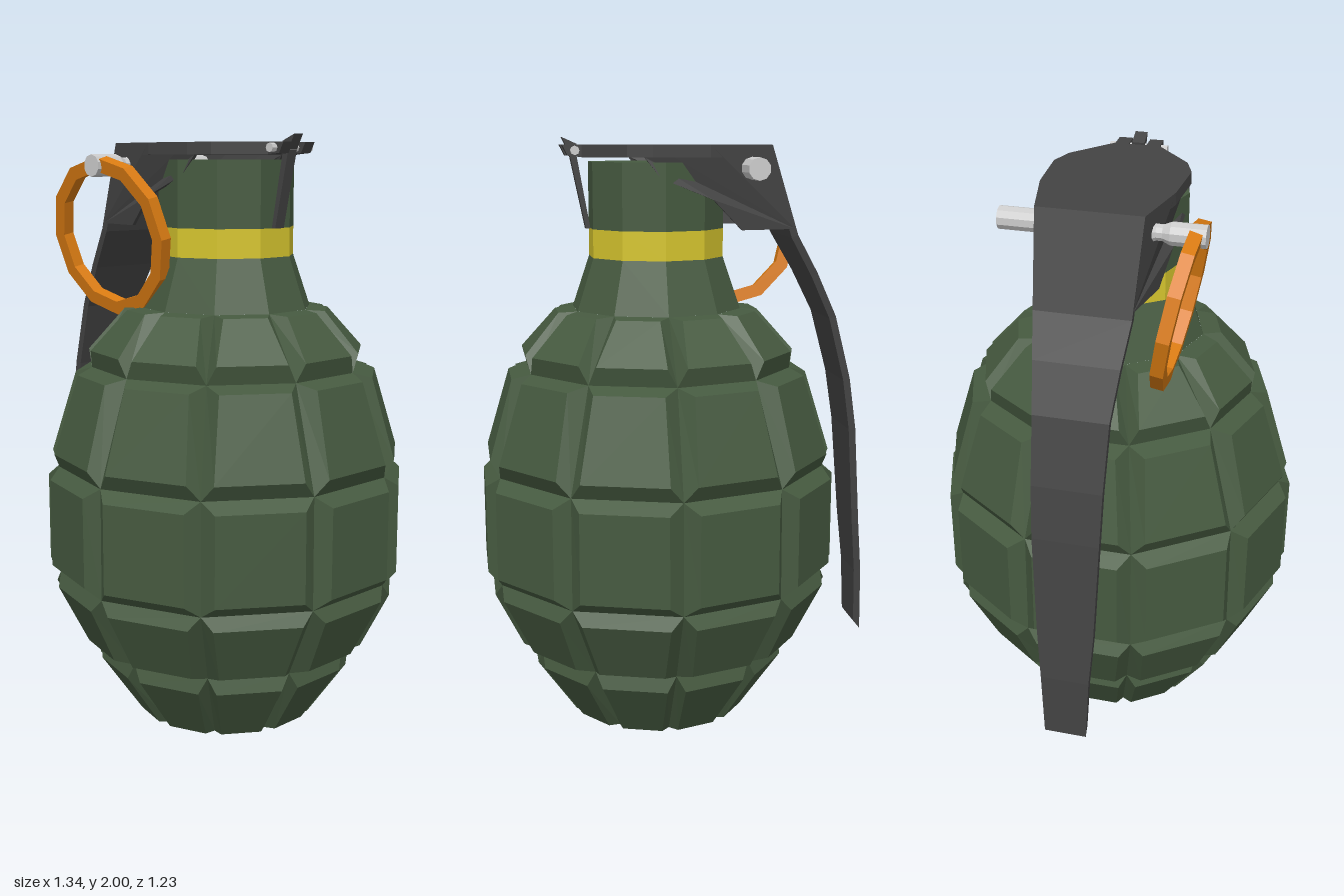
import * as THREE from 'three';

const SIDES = 10, STEP = Math.PI * 2 / SIDES, TAN = Math.tan(STEP / 2);
const CX = 0.07; // body axis

const mat = (color) => new THREE.MeshStandardMaterial({ color, flatShading: true });
const GREEN = mat(0x465a40), DARK = mat(0x434343), YELLOW = mat(0xd6c52e);
const ORANGE = mat(0xd87a12), STEEL = mat(0xcccccc);
DARK.side = THREE.DoubleSide;

function add(parent, name, geometry, material) {
  const mesh = new THREE.Mesh(geometry, material);
  mesh.name = name;
  parent.add(mesh);
  return mesh;
}

// Collects quads (counter-clockwise corners) into a geometry
function quadBuilder() {
  const pos = [];
  return {
    quad(a, b, c, d) { for (const p of [a, b, c, a, c, d]) pos.push(...p); },
    tri(a, b, c) { pos.push(...a, ...b, ...c); },
    build() {
      const g = new THREE.BufferGeometry();
      g.setAttribute('position', new THREE.Float32BufferAttribute(pos, 3));
      g.computeVertexNormals();
      return g;
    },
  };
}

// Side profile extruded across z, centred on z
function slab(points, width, z = 0) {
  const shape = new THREE.Shape(points.map(([x, y]) => new THREE.Vector2(x, y)));
  const g = new THREE.ExtrudeGeometry(shape, { depth: width, bevelEnabled: false });
  return g.translate(0, 0, z - width / 2);
}

// Body of raised bevelled blocks between grooves
function bodyGeometry() {
  const grooves = [[0.265, 0], [0.42, 0.255], [0.555, 0.515], [0.552, 0.888], [0.44, 1.23], [0.277, 1.43]];
  // each block face: bottom distance, bottom y, top distance, top y
  const blocks = [
    [0.30, 0, 0.435, 0.2], [0.483, 0.272, 0.578, 0.47], [0.6, 0.553, 0.6, 0.853],
    [0.583, 0.94, 0.504, 1.21], [0.456, 1.29, 0.34, 1.425],
  ];
  const q = quadBuilder();
  for (let i = 0; i < SIDES; i++) {
    const c = Math.cos(i * STEP), s = Math.sin(i * STEP);
    const P = (a, h, y) => [a * c - h * s, y, -a * s - h * c];
    blocks.forEach(([a0, y0, a1, y1], r) => {
      const [g0, v0] = grooves[r], [g1, v1] = grooves[r + 1];
      const outer = [P(g0, -g0 * TAN, v0), P(g0, g0 * TAN, v0), P(g1, g1 * TAN, v1), P(g1, -g1 * TAN, v1)];
      const h0 = g0 * TAN * 0.8, h1 = g1 * TAN * 0.8;
      const inner = [P(a0, -h0, y0), P(a0, h0, y0), P(a1, h1, y1), P(a1, -h1, y1)];
      q.quad(...inner);
      for (let k = 0; k < 4; k++) {
        const n = (k + 1) % 4;
        q.quad(outer[k], outer[n], inner[n], inner[k]);
      }
    });
    const g = grooves[0][0];
    q.tri([0, 0, 0], P(g, g * TAN, 0), P(g, -g * TAN, 0));
  }
  return q.build();
}

const lathe = (pts, n = SIDES) => new THREE.LatheGeometry(pts.map(([r, y]) => new THREE.Vector2(r, y)), n);

// Bent strap of the lever: [x, y, half width] from top to bottom
function strapGeometry() {
  const path = [
    [-0.295, 1.975, 0.17], [-0.39, 1.68, 0.155], [-0.465, 1.55, 0.138], [-0.537, 1.4, 0.122],
    [-0.595, 1.18, 0.115], [-0.622, 1.0, 0.11], [-0.648, 0.65, 0.095], [-0.665, 0.47, 0.082], [-0.671, 0.24, 0.072],
  ];
  const T = 0.024;
  const rings = path.map(([x, y, w], k) => {
    const a = path[Math.max(k - 1, 0)], b = path[Math.min(k + 1, path.length - 1)];
    const dx = b[0] - a[0], dy = b[1] - a[1], L = Math.hypot(dx, dy);
    const ix = x - dy / L * T;
    const iy = y + dx / L * T + (k === path.length - 1 ? 0.032 : 0); // slanted tip
    return [[x, y, -w], [x, y, w], [ix, iy, w], [ix, iy, -w]];
  });
  const q = quadBuilder();
  for (let k = 0; k < rings.length - 1; k++) {
    const A = rings[k], B = rings[k + 1];
    for (let j = 0; j < 4; j++) q.quad(B[j], B[(j + 1) % 4], A[(j + 1) % 4], A[j]);
  }
  const [o0, o1, i1, i0] = rings[rings.length - 1];
  q.quad(o0, i0, i1, o1);
  q.quad(...rings[0]);
  return q.build();
}

// Half width of the lever plate along x
const PLATE = [[-0.38, 0.155], [-0.295, 0.17], [-0.08, 0.217], [0.11, 0.227], [0.19, 0.198], [0.325, 0.077]];
function halfWidth(x) {
  for (let k = 1; k < PLATE.length; k++) {
    const [x0, w0] = PLATE[k - 1], [x1, w1] = PLATE[k];
    if (x <= x1) return w0 + (w1 - w0) * (x - x0) / (x1 - x0);
  }
  return PLATE[PLATE.length - 1][1];
}

function buildLever() {
  const lever = new THREE.Group();
  lever.name = 'lever';
  // top plate
  const edge = PLATE.slice(1);
  const outline = [...edge.map(([x, w]) => [x, -w]), ...edge.slice().reverse()];
  const plate = slab(outline, 0.04).rotateX(-Math.PI / 2).translate(0, 1.955, 0);
  add(lever, 'leverPlate', plate, DARK);
  add(lever, 'leverStrap', strapGeometry(), DARK);
  // side flaps that follow the plate edge
  const flap = [[-0.295, 1.975], [-0.38, 1.7], [-0.19, 1.7], [-0.09, 1.8], [0.085, 1.87],
    [0.135, 1.935], [0.135, 1.97], [0.11, 1.975], [-0.08, 1.975]];
  for (const side of [1, -1]) {
    const g = slab(flap, 0.014);
    const p = g.attributes.position;
    for (let i = 0; i < p.count; i++) p.setZ(i, p.getZ(i) + side * (halfWidth(p.getX(i)) - 0.007));
    g.computeVertexNormals();
    add(lever, side > 0 ? 'leftFlap' : 'rightFlap', g, DARK);
    // hinge tabs
    const tab = [[0.31, 1.935], [0.37, 1.94], [0.388, 1.975], [0.31, 1.975]];
    add(lever, 'hingeTab', slab(tab, 0.046, side * 0.053), DARK);
  }
  return lever;
}

export function createModel() {
  const model = new THREE.Group();
  model.name = 'model';

  // body, neck and painted band
  const body = new THREE.Group();
  body.name = 'body';
  body.position.x = CX;
  model.add(body);
  add(body, 'segmentedShell', bodyGeometry(), GREEN);
  add(body, 'neckCone', lathe([[0.291, 1.43], [0.231, 1.605]]), GREEN);
  add(body, 'neckBand', lathe([[0.231, 1.605], [0.231, 1.7]]), YELLOW);
  add(body, 'neckTop', lathe([[0.231, 1.7], [0.231, 1.92], [0, 1.92]]), GREEN);

  model.add(buildLever());

  // hinge post and cross pin
  const post = [[0.293, 1.7], [0.308, 1.7], [0.36, 1.95], [0.385, 2], [0.335, 1.978], [0.338, 1.95]];
  add(model, 'hingePost', slab(post, 0.042), DARK);
  const hingePin = add(model, 'hingePin', new THREE.CylinderGeometry(0.015, 0.015, 0.196, 8), STEEL);
  hingePin.rotation.x = Math.PI / 2;
  hingePin.position.set(0.348, 1.957, 0);

  // safety pin: thin where the ring hangs
  const pin = lathe([[0, -0.305], [0.037, -0.305], [0.037, 0.17], [0.026, 0.19], [0.026, 0.21],
    [0.037, 0.235], [0.037, 0.345], [0, 0.345]], 10);
  const safetyPin = add(model, 'safetyPin', pin, STEEL);
  safetyPin.rotation.x = Math.PI / 2;
  safetyPin.position.set(-0.222, 1.9, 0);

  // pull ring
  const r0 = 0.224, r1 = 0.27, t = 0.021;
  const ringGeometry = lathe([[r0, -t], [r1, -t], [r1, t], [r0, t], [r0, -t]], 12);
  const ring = add(model, 'pullRing', ringGeometry, ORANGE);
  ring.rotation.x = Math.PI / 2 + 0.18;
  ring.position.set(-0.215, 1.665, 0.268);
  // hang outward at the bottom
  ring.rotation.x = Math.PI / 2 + 0.18;

  return model;
}
